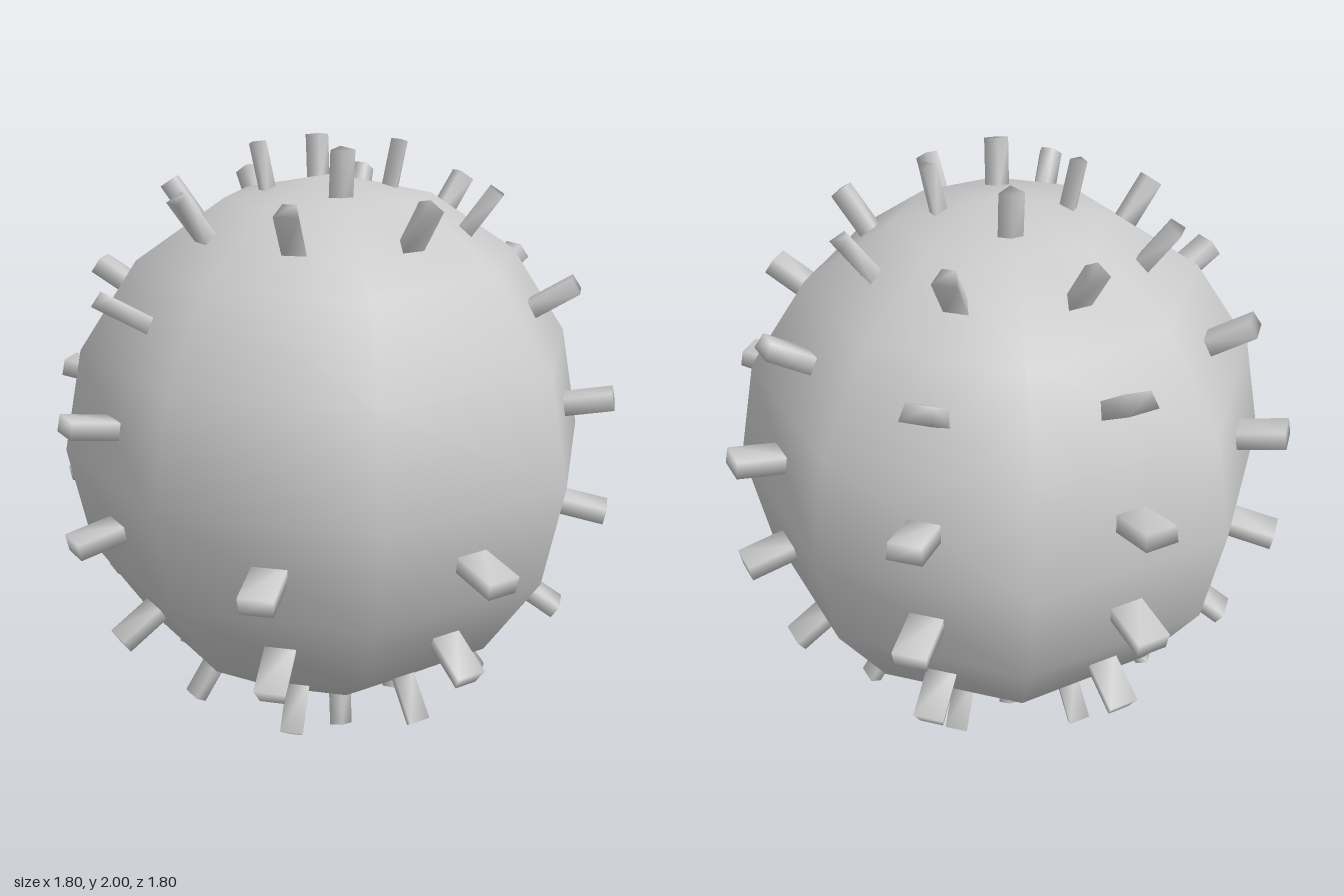
import * as THREE from 'three';

const R = 0.89;            // body radius
const STEP = Math.PI / 8;  // angle between rings
const SPIKE = 0.157;       // spike height above its face
const SHRINK = 0.16;       // spike section relative to its face

// Corner of the body at ring i (0 = top pole, 8 = bottom pole) and column k
function corner(i, k) {
  const t = i * STEP, a = k * Math.PI / 4;
  return new THREE.Vector3(
    R * Math.sin(t) * Math.cos(a), R * Math.cos(t), R * Math.sin(t) * Math.sin(a));
}

// Spike: a face of the body shrunk about its centre and pulled out along its normal
function makeSpike(corners, material) {
  const centre = new THREE.Vector3();
  corners.forEach((c) => centre.addScaledVector(c, 0.25));
  const normal = corners[2].clone().sub(corners[0])
    .cross(corners[3].clone().sub(corners[1])).normalize();
  const positions = [];
  for (const height of [-0.02, SPIKE]) {
    for (const c of corners) {
      const p = c.clone().sub(centre);
      p.addScaledVector(normal, -p.dot(normal)).multiplyScalar(SHRINK);
      p.add(centre).addScaledVector(normal, height);
      positions.push(p.x, p.y, p.z);
    }
  }
  const index = [4, 5, 6, 4, 6, 7];
  for (let i = 0; i < 4; i++) {
    const j = (i + 1) % 4;
    index.push(i, j, j + 4, i, j + 4, i + 4);
  }
  const geometry = new THREE.BufferGeometry();
  geometry.setAttribute('position', new THREE.Float32BufferAttribute(positions, 3));
  geometry.setIndex(index);
  geometry.computeVertexNormals();
  const mesh = new THREE.Mesh(geometry, material);
  mesh.name = 'spike';
  return mesh;
}

export function createModel() {
  const material = new THREE.MeshStandardMaterial({ color: 0xcccccc });
  const model = new THREE.Group();
  model.name = 'spikedBall';

  // Eight-sided ball
  const body = new THREE.Mesh(new THREE.SphereGeometry(R, 8, 8), material);
  body.name = 'body';
  body.position.y = 1;
  model.add(body);

  const spikes = new THREE.Group();
  spikes.name = 'spikes';
  spikes.position.y = 1;
  model.add(spikes);

  // Six rows of eight spikes, with a bare patch on the upper front left
  for (let i = 1; i < 7; i++) {
    for (let k = 0; k < 8; k++) {
      if ((i === 2 || i === 3) && k < 2) continue;
      spikes.add(makeSpike(
        [corner(i, k), corner(i, k + 1), corner(i + 1, k + 1), corner(i + 1, k)], material));
    }
  }

  // Four spikes around each pole, on kite-shaped faces
  for (let k = 0; k < 8; k += 2) {
    spikes.add(makeSpike(
      [corner(0, 0), corner(1, k + 2), corner(1, k + 1), corner(1, k)], material));
    spikes.add(makeSpike(
      [corner(8, 0), corner(7, k), corner(7, k + 1), corner(7, k + 2)], material));
  }
  return model;
}
